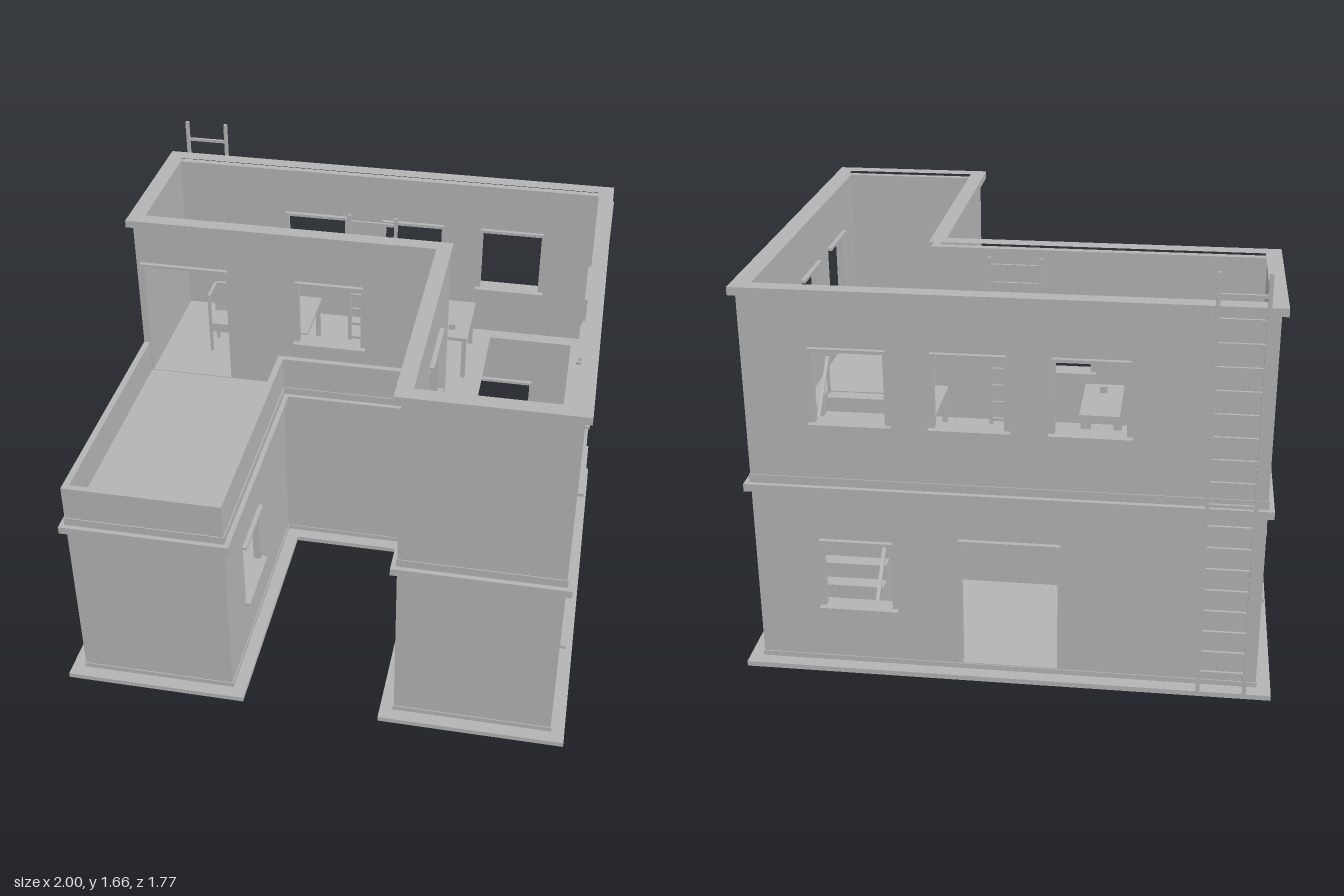
import * as THREE from 'three';

const wallT = 0.03;

export function createModel() {
  const root = new THREE.Group();
  root.name = 'house';
  const grey = new THREE.MeshStandardMaterial({ color: 0xb3b3b3 });
  grey.name = 'plain grey';

  const add = (name, geo, parent = root) => {
    const m = new THREE.Mesh(geo, grey);
    m.name = name;
    parent.add(m);
    return m;
  };
  const group = (name) => {
    const g = new THREE.Group();
    g.name = name;
    root.add(g);
    return g;
  };
  // box given by its limits
  const box = (name, x0, x1, y0, y1, z0, z1, parent) =>
    add(name, new THREE.BoxGeometry(x1 - x0, y1 - y0, z1 - z0), parent)
      .position.set((x0 + x1) / 2, (y0 + y1) / 2, (z0 + z1) / 2);

  // horizontal plate from an x,z outline with optional holes
  const toPts = (p) => p.map(([x, z]) => new THREE.Vector2(x, -z));
  const plate = (name, outline, y, h, holes = []) => {
    const s = new THREE.Shape(toPts(outline));
    holes.forEach((p) => s.holes.push(new THREE.Path(toPts(p))));
    const g = new THREE.ExtrudeGeometry(s, { depth: h, bevelEnabled: false });
    g.rotateX(-Math.PI / 2);
    g.translate(0, y, 0);
    return add(name, g);
  };

  // floor outlines, grown by o
  const uPlan = (o) => {
    const x = 0.943 + o, n = 0.327 - o, b = -0.825 - o, f = 0.832 + o, c = -0.177 + o;
    return [[-x, b], [x, b], [x, f], [n, f], [n, c], [-n, c], [-n, f], [-x, f]];
  };
  const lPlan = (o) => {
    const x = 0.943 + o, n = 0.327 - o, b = -0.825 - o, f = 0.832 + o, c = -0.202 + o;
    return [[-x, b], [x, b], [x, f], [n, f], [n, c], [-x, c]];
  };

  // wall along x or z at a fixed centre line, with windows and doors cut out
  // opening: [from, to, bottom, top, isDoor]
  const wall = (name, axis, at, a, b, y0, y1, openings = [], t = wallT) => {
    const g = group(name);
    const s = new THREE.Shape();
    s.moveTo(a, y0).lineTo(b, y0).lineTo(b, y1).lineTo(a, y1).closePath();
    for (const [u0, u1, v0, v1, door] of openings) {
      const h = new THREE.Path();
      h.moveTo(u0, v0).lineTo(u0, v1).lineTo(u1, v1).lineTo(u1, v0).closePath();
      s.holes.push(h);
      const mid = (u0 + u1) / 2, w = u1 - u0;
      add('lintel', new THREE.BoxGeometry(w + 0.02, 0.012, 0.066), g).position.set(mid, v1 + 0.005, 0);
      if (!door) add('sill', new THREE.BoxGeometry(w + 0.044, 0.014, 0.08), g).position.set(mid, v0 - 0.006, 0);
    }
    const geo = new THREE.ExtrudeGeometry(s, { depth: t, bevelEnabled: false });
    geo.translate(0, 0, -t / 2);
    add('wallPanel', geo, g);
    if (axis === 'z') {
      g.rotation.y = -Math.PI / 2;
      g.position.x = at;
    } else g.position.z = at;
  };
  const low = (a, b) => [a, b, 0.26, 0.535];
  const high = (a, b) => [a, b, 1.02, 1.30];

  // base, floors and cornices
  const stairHole = [[0.495, -0.745], [0.855, -0.745], [0.855, -0.02], [0.495, -0.02]];
  plate('baseSlab', uPlan(0.055), 0, 0.02);
  plate('groundFloor', uPlan(0.004), 0.02, 0.02);
  plate('upperFloor', uPlan(0.004), 0.765, 0.035, [stairHole]);
  plate('lowerCornice', uPlan(0.023), 0.738, 0.03, [uPlan(-0.04)]);
  plate('upperCornice', lPlan(0.023), 1.5, 0.03, [lPlan(-0.037)]);

  // ground storey
  const G0 = 0.04, G1 = 0.766;
  wall('groundBackWall', 'x', -0.81, -0.943, 0.943, G0, G1,
    [low(0.43, 0.685), [-0.195, 0.165, 0.043, 0.565, true]]);
  wall('groundRightWall', 'z', 0.928, -0.825, 0.832, G0, G1,
    [low(-0.535, -0.283), low(0.333, 0.585), [-0.17, 0.195, 0.043, 0.56, true]]);
  wall('groundLeftWall', 'z', -0.928, -0.825, 0.832, G0, G1,
    [low(-0.57, -0.31), low(-0.125, 0.14), low(0.306, 0.555)]);
  wall('groundCourtWall', 'x', -0.192, -0.357, 0.357, G0, G1);
  wall('groundCourtLeftWall', 'z', -0.342, -0.207, 0.832, G0, G1, [low(0.325, 0.58)]);
  wall('groundCourtRightWall', 'z', 0.342, -0.207, 0.832, G0, G1, [low(0.07, 0.32)]);
  for (const s of [-1, 1]) {
    wall('groundFrontWall', 'x', 0.817, Math.min(s * 0.327, s * 0.943), Math.max(s * 0.327, s * 0.943), G0, G1);
  }

  // upper storey
  const U0 = 0.8, U1 = 1.51;
  wall('upperBackWall', 'x', -0.81, -0.943, 0.943, U0, U1,
    [high(-0.435, -0.18), high(0, 0.25), high(0.43, 0.685)]);
  wall('upperRightWall', 'z', 0.928, -0.825, 0.832, U0, U1,
    [high(-0.535, -0.283), high(-0.10, 0.15), high(0.333, 0.585)]);
  wall('upperLeftWall', 'z', -0.928, -0.825, -0.202, U0, U1);
  wall('upperFrontWall', 'x', -0.217, -0.943, 0.357, U0, U1,
    [high(-0.26, 0), [-0.915, -0.565, 0.803, 1.32, true]]);
  wall('upperCourtWall', 'z', 0.342, -0.232, 0.832, U0, U1, [high(0.055, 0.32)]);
  wall('upperWingFrontWall', 'x', 0.817, 0.327, 0.943, U0, U1);

  // terrace parapet
  const P1 = 0.94;
  wall('parapetLeft', 'z', -0.931, -0.205, 0.832, U0, P1, [], 0.025);
  wall('parapetRight', 'z', -0.34, -0.205, 0.832, U0, P1, [], 0.025);
  wall('parapetFront', 'x', 0.819, -0.943, -0.328, U0, P1, [], 0.025);
  wall('parapetCourt', 'x', -0.19, -0.35, 0.327, U0, P1, [], 0.025);

  // staircase rising towards the front
  const steps = 12, run = 0.725 / steps, rise = 0.755 / steps;
  const prof = new THREE.Shape();
  prof.moveTo(-0.745, 0.04);
  for (let i = 0; i < steps; i++) {
    prof.lineTo(-0.745 + i * run, 0.04 + (i + 1) * rise);
    prof.lineTo(-0.745 + (i + 1) * run, 0.04 + (i + 1) * rise);
  }
  prof.lineTo(-0.02, 0.04);
  const stairGeo = new THREE.ExtrudeGeometry(prof, { depth: 0.335, bevelEnabled: false });
  stairGeo.rotateY(-Math.PI / 2);
  stairGeo.translate(0.845, 0, 0);
  const stairs = group('stairs');
  add('steps', stairGeo, stairs);
  for (const x of [0.508, 0.845]) {
    const rail = add('handrail', new THREE.BoxGeometry(0.014, 0.012, 1.02), stairs);
    rail.position.set(x, 0.593, -0.3825);
    rail.rotation.x = -Math.PI / 4;
    for (const z of [-0.735, -0.375, -0.03]) {
      box('railPost', x - 0.006, x + 0.006, z + 0.82, z + 0.975, z - 0.006, z + 0.006, stairs);
    }
  }

  // ladders
  const ladder = (name, x0, x1, y0, y1, z, r, gap, first) => {
    const g = group(name);
    for (const x of [x0 + r, x1 - r]) box('ladderRail', x - r, x + r, y0, y1, z - r, z + r, g);
    for (let y = first; y < y1 - 0.01; y += gap) box('rung', x0, x1, y - 0.006, y + 0.006, z - 0.005, z + 0.005, g);
    return g;
  };
  const outer = ladder('outsideLadder', -0.905, -0.72, 0.02, 1.66, -0.88, 0.007, 0.0867, 0.106);
  for (const y of [0.075, 0.5, 0.92, 1.345]) {
    for (const x of [-0.898, -0.727]) box('bracket', x - 0.006, x + 0.006, y - 0.006, y + 0.006, -0.88, -0.82, outer);
  }
  ladder('roomLadder', -0.09, 0.115, 0.8, 1.53, -0.4, 0.007, 0.069, 0.876);

  // rain pipe
  const pipe = group('rainPipe');
  add('pipe', new THREE.CylinderGeometry(0.011, 0.011, 1.49, 12), pipe).position.set(0.96, 0.775, -0.735);

  // tables with a cup
  const table = (x, z, y) => {
    const g = group('table');
    const w = 0.075, d = 0.152, h = 0.2;
    box('tableTop', x - w, x + w, y + h - 0.015, y + h, z - d, z + d, g);
    for (const i of [-1, 1]) for (const j of [-1, 1]) {
      const lx = x + i * (w - 0.014), lz = z + j * (d - 0.014);
      box('tableLeg', lx - 0.009, lx + 0.009, y, y + h - 0.015, lz - 0.009, lz + 0.009, g);
    }
    box('cup', x - 0.013, x + 0.013, y + h, y + h + 0.025, z + 0.065, z + 0.091, g);
  };
  table(-0.323, -0.452, 0.8);
  table(0.35, -0.538, 0.8);
  table(0.35, -0.4, 0.04);
  table(-0.78, 0, 0.04);

  // armchair
  const chair = group('armchair');
  box('seat', -0.71, -0.57, 0.9, 0.94, -0.52, -0.4, chair);
  box('chairBack', -0.70, -0.58, 0.94, 1.08, -0.53, -0.515, chair);
  for (const x of [-0.71, -0.582]) {
    box('armrest', x, x + 0.012, 1.068, 1.08, -0.52, -0.4, chair);
    for (const z of [-0.52, -0.412]) box('chairLeg', x, x + 0.012, 0.8, 1.07, z, z + 0.012, chair);
  }

  // bed
  const bed = group('bed');
  box('mattress', 0.42, 0.64, 0.8, 0.89, 0.25, 0.625, bed);
  box('headboard', 0.42, 0.64, 0.8, 0.97, 0.24, 0.255, bed);
  box('pillow', 0.433, 0.627, 0.89, 0.91, 0.272, 0.362, bed);

  return root;
}
